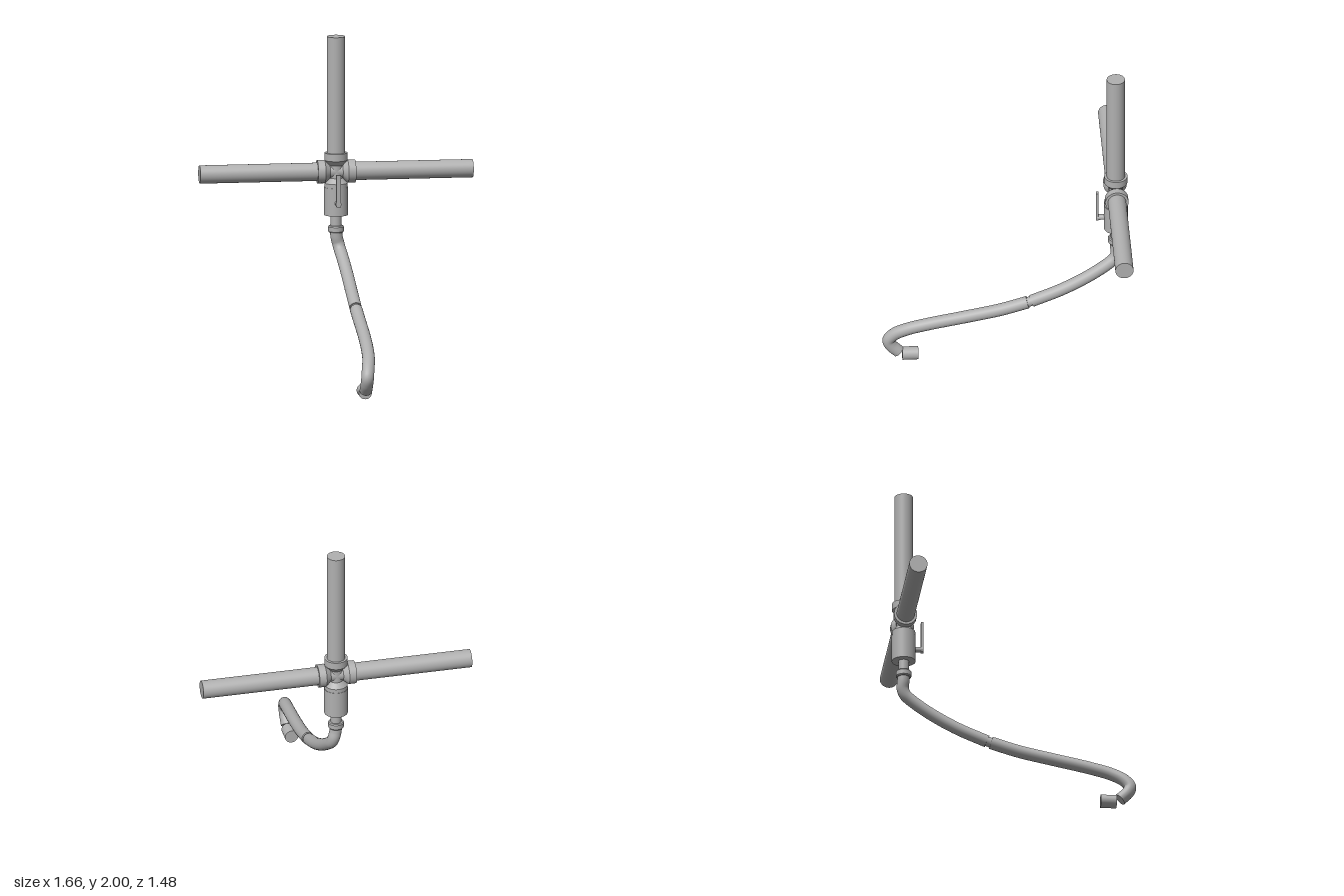
import * as THREE from 'three';

const steel = new THREE.MeshStandardMaterial({ color: 0xb0b0b0 });
steel.name = 'grey metal';
const PZ = -0.668; // depth of the pipework
const CY = 1.175;  // height of the cross fitting

function add(parent, name, geometry, x = 0, y = 0, z = 0) {
  const mesh = new THREE.Mesh(geometry, steel);
  mesh.name = name;
  mesh.position.set(x, y, z);
  parent.add(mesh);
  return mesh;
}

const rod = (r, length) => new THREE.CylinderGeometry(r, r, length, 40);

// Turned part from [radius, height] pairs; each band keeps its own crisp edge
function turned(parent, name, profile, x, y, z) {
  const group = new THREE.Group();
  group.name = name;
  group.position.set(x, y, z);
  for (let i = 0; i < profile.length - 1; i++) {
    const band = [profile[i], profile[i + 1]].map(([r, h]) => new THREE.Vector2(r, h));
    add(group, name + 'Band', new THREE.LatheGeometry(band, 40));
  }
  parent.add(group);
  return group;
}

// Hose section following a curve, closed by a disc at both ends
function hose(parent, name, points, r) {
  const curve = new THREE.CatmullRomCurve3(points.map((p) => new THREE.Vector3(...p)), false, 'centripetal');
  add(parent, name, new THREE.TubeGeometry(curve, 90, r, 24));
  for (const t of [0, 1]) {
    const p = curve.getPointAt(t);
    const out = curve.getTangentAt(t).multiplyScalar(t ? 1 : -1);
    const cap = add(parent, name + 'End', new THREE.CircleGeometry(r, 24), p.x, p.y, p.z);
    cap.quaternion.setFromUnitVectors(new THREE.Vector3(0, 0, 1), out);
  }
}

export function createModel() {
  const model = new THREE.Group();
  model.name = 'pipeValveWithHose';

  // Cross fitting: core plus a collar and pipe on three arms, a collar below
  add(model, 'fittingCoreVertical', rod(0.042, 0.2), 0, CY, PZ);
  add(model, 'fittingCoreHorizontal', rod(0.042, 0.2), 0, CY, PZ).rotation.z = Math.PI / 2;
  const collar = [[0, 0.034], [0.038, 0.034], [0.07, 0.07], [0.07, 0.115], [0, 0.115]];
  const arms = [['upper', 0, 0.825], ['left', -Math.PI / 2, 0.83], ['right', Math.PI / 2, 0.83]];
  for (const [side, angle, end] of arms) {
    const arm = turned(model, side + 'Collar', collar, 0, CY, PZ);
    arm.rotation.z = angle;
    add(arm, side + 'Pipe', rod(0.055, end - 0.1), 0, (end + 0.1) / 2, 0);
  }
  turned(model, 'lowerCollar', [[0.07, 1.08], [0.07, 1.105], [0.038, 1.141], [0, 1.141]], 0, 0, PZ);

  // Valve body, outlet nipple and hose ferrule
  add(model, 'valveBody', rod(0.072, 0.17), 0, 0.995, PZ);
  add(model, 'outletNipple', rod(0.032, 0.1), 0, 0.87, PZ);
  turned(model, 'hoseFerrule', [[0, 0.803], [0.042, 0.803], [0.047, 0.81],
    [0.047, 0.838], [0.042, 0.845], [0, 0.845]], 0, 0, PZ);

  // Lever handle on the front of the valve
  add(model, 'handleStem', rod(0.017, 0.07), 0, 0.992, -0.588).rotation.x = Math.PI / 2;
  add(model, 'handleLever', new THREE.BoxGeometry(0.028, 0.195, 0.016), 0, 1.073, -0.556);

  // Two hose sections with a thin joint between them
  hose(model, 'upperHose', [[0, 0.82, PZ], [0.004, 0.775, -0.67], [0.014, 0.735, -0.672],
    [0.022, 0.70, -0.657], [0.029, 0.67, -0.623], [0.041, 0.588, -0.499],
    [0.047, 0.503, -0.34], [0.049, 0.427, -0.158]], 0.037);
  hose(model, 'hoseJoint', [[0.049, 0.436, -0.18], [0.049, 0.41, -0.11]], 0.03);
  hose(model, 'lowerHose', [[0.049, 0.419, -0.134], [0.049, 0.371, 0.03], [0.045, 0.324, 0.244],
    [0.035, 0.276, 0.456], [0.024, 0.236, 0.589], [0.01, 0.192, 0.668],
    [0.002, 0.145, 0.703], [0, 0.105, 0.688], [0, 0.058, 0.642]], 0.038);

  // Nozzle tip at the hose end
  add(model, 'nozzleTip', rod(0.04, 0.096), 0, 0.042, 0.572).rotation.x = Math.PI / 2;

  return model;
}
